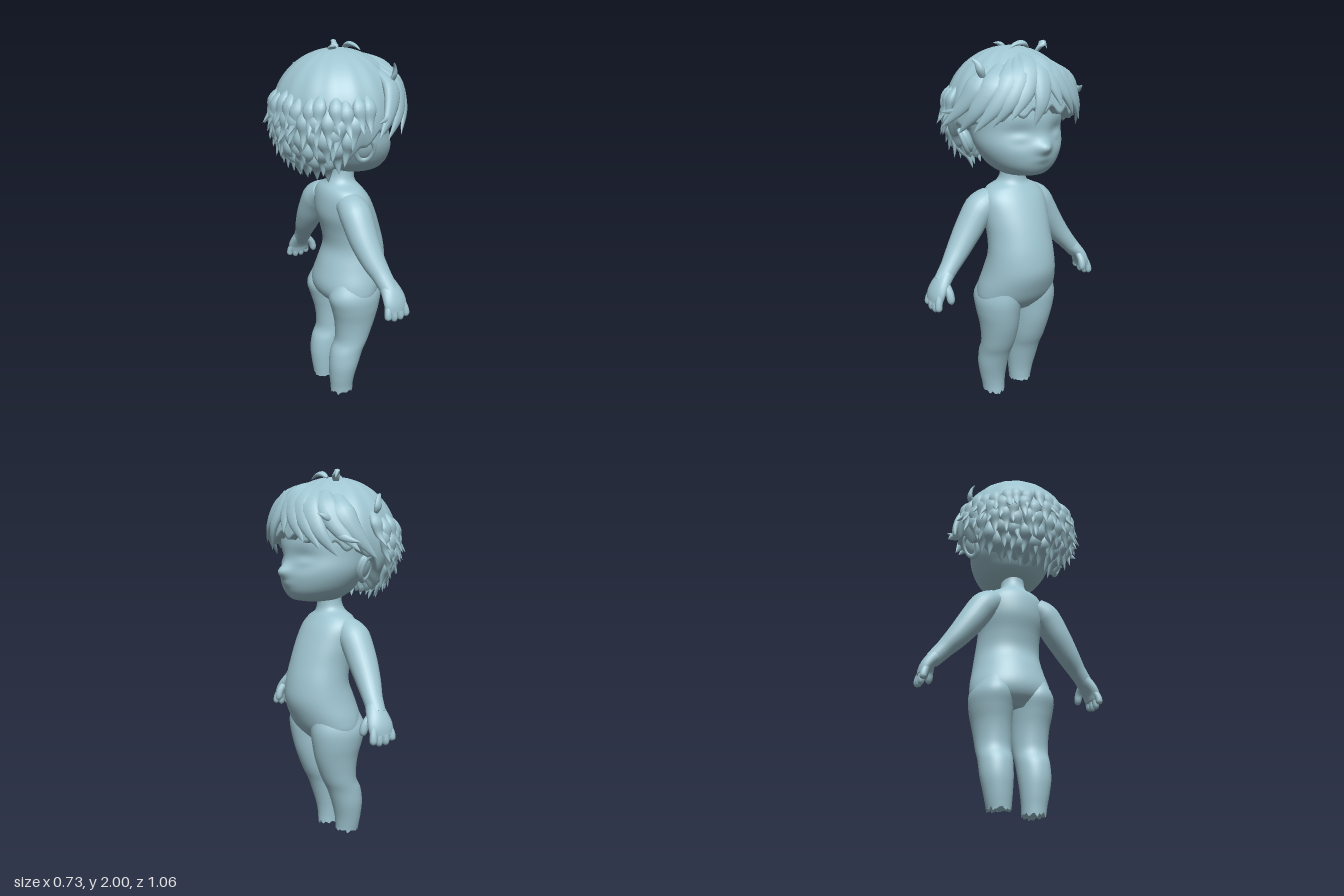
import * as THREE from 'three';
import { mergeGeometries } from 'three/addons/utils/BufferGeometryUtils.js';

const V = (x, y, z) => new THREE.Vector3(x, y, z);
const RAD = Math.PI / 180;
const curve = (pts) => new THREE.CatmullRomCurve3(pts, false, 'catmullrom', 0.5);

let seed = 7;
const rnd = () => (seed = (seed * 16807) % 2147483647) / 2147483647;

// Skin a list of closed rings, with a fan at each end
function loft(rings, caps = true) {
  const n = rings[0].length, pos = [], idx = [];
  rings.forEach((r) => r.forEach((p) => pos.push(p.x, p.y, p.z)));
  for (let i = 0; i < rings.length - 1; i++)
    for (let j = 0; j < n; j++) {
      const a = i * n + j, b = i * n + ((j + 1) % n);
      idx.push(a, a + n, b, b, a + n, b + n);
    }
  if (caps)
    [0, rings.length - 1].forEach((r, end) => {
      const c = rings[r].reduce((s, p) => s.add(p), V(0, 0, 0)).divideScalar(n);
      const base = pos.length / 3;
      rings[r].forEach((p) => pos.push(p.x, p.y, p.z));
      pos.push(c.x, c.y, c.z);
      for (let j = 0; j < n; j++) {
        const a = base + j, b = base + ((j + 1) % n);
        idx.push(...(end ? [a, base + n, b] : [a, b, base + n]));
      }
    });
  const g = new THREE.BufferGeometry();
  g.setAttribute('position', new THREE.Float32BufferAttribute(pos, 3));
  g.setIndex(idx);
  g.computeVertexNormals();
  return g;
}

// Horizontal sections [y, back x, front x, min z, max z], listed from the top down
function stack(rows, steps, n, warp) {
  const A = curve(rows.map((r) => V(r[0], r[1], r[2])));
  const B = curve(rows.map((r) => V(r[0], r[3], r[4])));
  const rings = [];
  for (let i = 0; i <= steps; i++) {
    const a = A.getPoint(i / steps), b = B.getPoint(i / steps), ring = [];
    for (let j = 0; j < n; j++) {
      const t = (-j / n) * Math.PI * 2;
      const p = V((a.y + a.z) / 2 + (Math.cos(t) * (a.z - a.y)) / 2, a.x,
        (b.y + b.z) / 2 + (Math.sin(t) * (b.z - b.y)) / 2);
      if (warp) warp(p, i / steps, j);
      ring.push(p);
    }
    rings.push(ring);
  }
  return loft(rings);
}

// Tapered sweep along points; size(s) gives [width, thickness], thickness lies along "out"
function sweep(pts, size, outFrom, steps = 14, n = 12) {
  const c = curve(pts), rings = [];
  for (let i = 0; i <= steps; i++) {
    const s = i / steps, p = c.getPoint(s), T = c.getTangent(s);
    const N = p.clone().sub(outFrom).addScaledVector(T, -p.clone().sub(outFrom).dot(T)).normalize();
    const B = T.clone().cross(N), [w, h] = size(s), ring = [];
    for (let j = 0; j < n; j++) {
      const t = (-j / n) * Math.PI * 2;
      ring.push(p.clone().addScaledVector(N, Math.cos(t) * h).addScaledVector(B, Math.sin(t) * w));
    }
    rings.push(ring);
  }
  return loft(rings);
}

// Linear lookup in a table of [key, value]
function lookup(table, k) {
  for (let i = 1; i < table.length; i++) {
    const [a, va] = table[i - 1], [b, vb] = table[i];
    if (k <= b) return va + ((vb - va) * (k - a)) / (b - a);
  }
  return table[table.length - 1][1];
}

// Hair ellipsoid: azimuth from the face, polar angle from the crown, scale
const HEAD = V(0, 1.65, 0);
const hairPoint = (az, po, s = 1) => V(
  0.335 * s * Math.sin(po * RAD) * Math.cos(az * RAD),
  1.65 + 0.33 * s * Math.cos(po * RAD),
  0.34 * s * Math.sin(po * RAD) * Math.sin(az * RAD));
const lockSize = (w, h) => (s) => {
  const k = s < 0.4 ? 0.35 + 0.65 * Math.sin((s / 0.4) * Math.PI / 2) : Math.pow(1 - (s - 0.4) / 0.6, 0.8);
  return [w * k + 0.0005, h * k + 0.0005];
};

export function createModel() {
  const model = new THREE.Group();
  const blue = new THREE.MeshStandardMaterial({ color: 0x9fc5d1, side: THREE.DoubleSide });
  blue.name = 'pale blue';
  const add = (name, geo, parent = model) => {
    const m = new THREE.Mesh(geo, blue);
    m.name = name;
    parent.add(m);
    return m;
  };

  // Torso with neck
  add('torso', stack([
    [1.42, -0.04, 0.11, -0.07, 0.07], [1.33, -0.035, 0.1, -0.068, 0.068], [1.28, -0.055, 0.105, -0.085, 0.085],
    [1.245, -0.085, 0.13, -0.15, 0.15], [1.19, -0.1, 0.17, -0.185, 0.185], [1.1, -0.1, 0.215, -0.187, 0.187],
    [1.0, -0.07, 0.252, -0.18, 0.18], [0.9, -0.055, 0.278, -0.187, 0.187], [0.8, -0.09, 0.285, -0.203, 0.203],
    [0.7, -0.118, 0.25, -0.226, 0.226], [0.63, -0.105, 0.21, -0.222, 0.222], [0.57, -0.05, 0.15, -0.15, 0.15],
  ], 55, 48));

  // Legs with ragged lower ends
  for (const side of [1, -1]) {
    const foot = side > 0 ? 0.015 : 0.035;
    const rows = [
      [0.72, -0.08, 0.21, 0.03, 0.2], [0.64, -0.112, 0.212, 0.0, 0.232], [0.56, -0.092, 0.2, 0.0, 0.229],
      [0.48, -0.07, 0.182, 0.003, 0.214], [0.4, -0.06, 0.155, 0.006, 0.203], [0.34, -0.063, 0.13, 0.01, 0.198],
      [0.28, -0.092, 0.1, 0.014, 0.194], [0.2, -0.104, 0.072, 0.018, 0.19], [0.12, -0.1, 0.05, 0.025, 0.175],
      [0.06, -0.093, 0.042, 0.03, 0.162], [foot, -0.09, 0.042, 0.032, 0.156],
    ].map(([y, a, b, c, d]) => (side > 0 ? [y, a, b, c, d] : [y, a, b, -d, -c]));
    add(side > 0 ? 'rightLeg' : 'leftLeg', stack(rows, 45, 36, (p, s) => {
      if (s === 1) p.y += (rnd() - 0.5) * 0.028;
    }));
  }

  // Arms, palms, fingers and thumbs
  for (const side of [1, -1]) {
    const arm = new THREE.Group();
    arm.name = side > 0 ? 'rightArm' : 'leftArm';
    model.add(arm);
    const P = (x, y, z) => V(x, y, z * side);
    const inside = P(0, 0.6, -0.1);
    const width = [[0, 0.075], [0.2, 0.088], [0.4, 0.08], [0.6, 0.067], [0.8, 0.053], [1, 0.046]];
    add('arm', sweep([P(0, 1.185, 0.12), P(-0.005, 1.14, 0.19), P(-0.005, 1.03, 0.265), P(0.005, 0.935, 0.333),
      P(0.022, 0.86, 0.395), P(0.035, 0.79, 0.455)],
    (s) => { const w = lookup(width, s); return [w, w * 0.93]; }, inside, 24, 24), arm);
    add('palm', sweep([P(0.033, 0.83, 0.42), P(0.04, 0.78, 0.465), P(0.042, 0.735, 0.492), P(0.04, 0.695, 0.502)],
      (s) => [0.046 + 0.024 * Math.sin(s * 2.4), 0.042 - 0.014 * s], inside, 14, 20), arm);
    const digit = (name, pts, r) => add(name, sweep(pts, (s) => {
      const k = s > 0.7 ? Math.sqrt(Math.max(0, 1 - ((s - 0.7) / 0.3) ** 2)) : 1;
      return [r * k + 0.0005, r * k + 0.0005];
    }, inside, 14, 10), arm);
    [-0.015, 0.023, 0.061, 0.096].forEach((x, i) => {
      const tip = [0.658, 0.64, 0.64, 0.652][i];
      digit('finger', [P(0.04 + (x - 0.04) * 0.75, 0.745, 0.49), P(x, 0.695, 0.508), P(x * 1.05, tip, 0.512)], 0.019);
    });
    digit('thumb', [P(0.065, 0.79, 0.45), P(0.105, 0.745, 0.448), P(0.12, 0.685, 0.445)], 0.021);
  }

  // Head, with nose, brow and shallow eye hollows pressed into the front
  const bump = (p, y, z, sy, sz) => Math.exp(-(((p.y - y) / sy) ** 2) - ((p.z - z) / sz) ** 2);
  add('head', stack([
    [1.332, 0.06, 0.19, -0.06, 0.06], [1.345, -0.01, 0.25, -0.115, 0.115], [1.385, -0.08, 0.285, -0.172, 0.172],
    [1.44, -0.12, 0.3, -0.212, 0.212], [1.5, -0.16, 0.305, -0.236, 0.236], [1.57, -0.19, 0.297, -0.242, 0.242],
    [1.65, -0.21, 0.295, -0.242, 0.242], [1.75, -0.2, 0.27, -0.22, 0.22], [1.83, -0.12, 0.18, -0.13, 0.13],
  ].reverse(), 64, 96, (p) => {
    if (p.x < 0.1) return;
    p.x += 0.04 * bump(p, 1.49, 0, 0.035, 0.04) + 0.008 * bump(p, 1.43, 0, 0.02, 0.05);
    for (const z of [0.115, -0.115])
      p.x += 0.012 * bump(p, 1.54, z, 0.025, 0.045) - 0.024 * bump(p, 1.55, z, 0.055, 0.07);
  }));

  // Ears
  for (const side of [1, -1]) {
    const ear = new THREE.Group();
    ear.name = side > 0 ? 'rightEar' : 'leftEar';
    ear.position.set(-0.005, 1.515, side * 0.265);
    ear.rotation.set(side * 0.4, side * -0.45, 0);
    model.add(ear);
    add('earLobe', new THREE.SphereGeometry(1, 24, 16), ear).scale.set(0.05, 0.072, 0.03);
    const rim = add('earRim', new THREE.TorusGeometry(0.045, 0.013, 10, 28), ear);
    rim.scale.set(0.95, 1.4, 1);
    rim.position.z = side * 0.016;
  }

  // Hair cap: its hem falls from the forehead to the nape, then folds inward
  const hem = [[0, 84], [45, 91], [85, 100], [105, 116], [130, 138], [180, 148]];
  const rings = [];
  for (let i = 0; i <= 34; i++) {
    const ring = [];
    for (let j = 0; j < 144; j++) {
      const az = 180 - (j / 144) * 360, t = Math.min(i / 30, 1);
      const po = 0.5 + (lookup(hem, Math.abs(az)) + 3 * Math.sin(az * 0.35)) * t;
      const groove = 0.01 * t * Math.sin(az * 0.3 + 1.2 * Math.sin(t * 2));
      const fold = i > 30 ? (i - 30) * 0.085 : 0;
      ring.push(hairPoint(az, po, 1 + groove - fold));
    }
    rings.push(ring);
  }
  add('hairCap', loft(rings, false));

  // Locks run over the cap from one angle pair to another and lift at the tip
  const lock = (a0, p0, a1, p1, lift, w, h, puff = 0.04) => {
    const at = (k, s) => hairPoint(a0 + (a1 - a0) * k * k, p0 + (p1 - p0) * k, s);
    return sweep([at(0, 0.97), at(0.35, 1 + puff * 0.6), at(0.7, 1 + puff), at(1, 1 + lift)], lockSize(w, h), HEAD);
  };

  // Fringe and temple locks
  add('fringe', mergeGeometries([
    [0, 25, 14, 98, 0.03], [10, 25, 33, 92, 0.08], [20, 30, 48, 98, 0.06], [30, 35, 62, 102, 0.12],
    [45, 40, 78, 104, 0.1], [60, 45, 92, 99, 0.2], [-5, 25, -12, 84, 0.08], [-10, 28, -32, 92, 0.06],
    [-20, 30, -46, 97, 0.1], [-30, 35, -60, 103, 0.08], [-45, 40, -76, 98, 0.18], [-60, 45, -92, 104, 0.14],
  ].map(([a, b, c, d, l]) => lock(a, b, c, d, l, 0.062, 0.03, 0.05))));

  // Rows of short spikes round the back
  const spikes = [];
  [[97, 88, 17], [108, 76, 15], [121, 70, 13], [134, 62, 10], [147, 50, 7]].forEach(([po, range, count], row) => {
    for (let i = 0; i < count; i++) {
      const az = 180 - range + (2 * range * (i + (row % 2) * 0.3 + rnd() * 0.3)) / (count - 0.5);
      const end = po + (rnd() - 0.5) * 6;
      spikes.push(lock(az, end - 30, az + (rnd() - 0.5) * 9, end, 0.11 + rnd() * 0.05, 0.036, 0.022, 0.025));
    }
  });
  add('backSpikes', mergeGeometries(spikes));

  // Loose curls standing off the crown and sides
  add('looseCurls', mergeGeometries([
    [V(0.06, 1.93, -0.11), V(0.08, 1.975, -0.14), V(0.085, 1.995, -0.16), V(0.1, 1.96, -0.168)],
    [V(0.08, 1.97, -0.06), V(0.09, 1.99, -0.02), V(0.095, 1.985, 0.03), V(0.1, 1.965, 0.07)],
    [V(-0.03, 1.96, 0.0), V(-0.045, 1.985, 0.03), V(-0.06, 1.99, 0.06)],
    [V(0.14, 1.8, 0.25), V(0.16, 1.86, 0.275), V(0.15, 1.9, 0.29), V(0.13, 1.925, 0.31)],
    [V(-0.06, 1.77, -0.28), V(-0.06, 1.81, -0.31), V(-0.07, 1.86, -0.305), V(-0.09, 1.885, -0.29)],
    [V(0.18, 1.77, -0.25), V(0.22, 1.76, -0.28), V(0.27, 1.78, -0.27)],
    [V(0.1, 1.72, 0.3), V(0.08, 1.68, 0.35), V(-0.02, 1.66, 0.4)],
    [V(0.2, 1.7, -0.28), V(0.15, 1.66, -0.34), V(0.1, 1.64, -0.39)],
  ].map((pts) => sweep(pts, lockSize(0.022, 0.013), HEAD))));

  return model;
}
